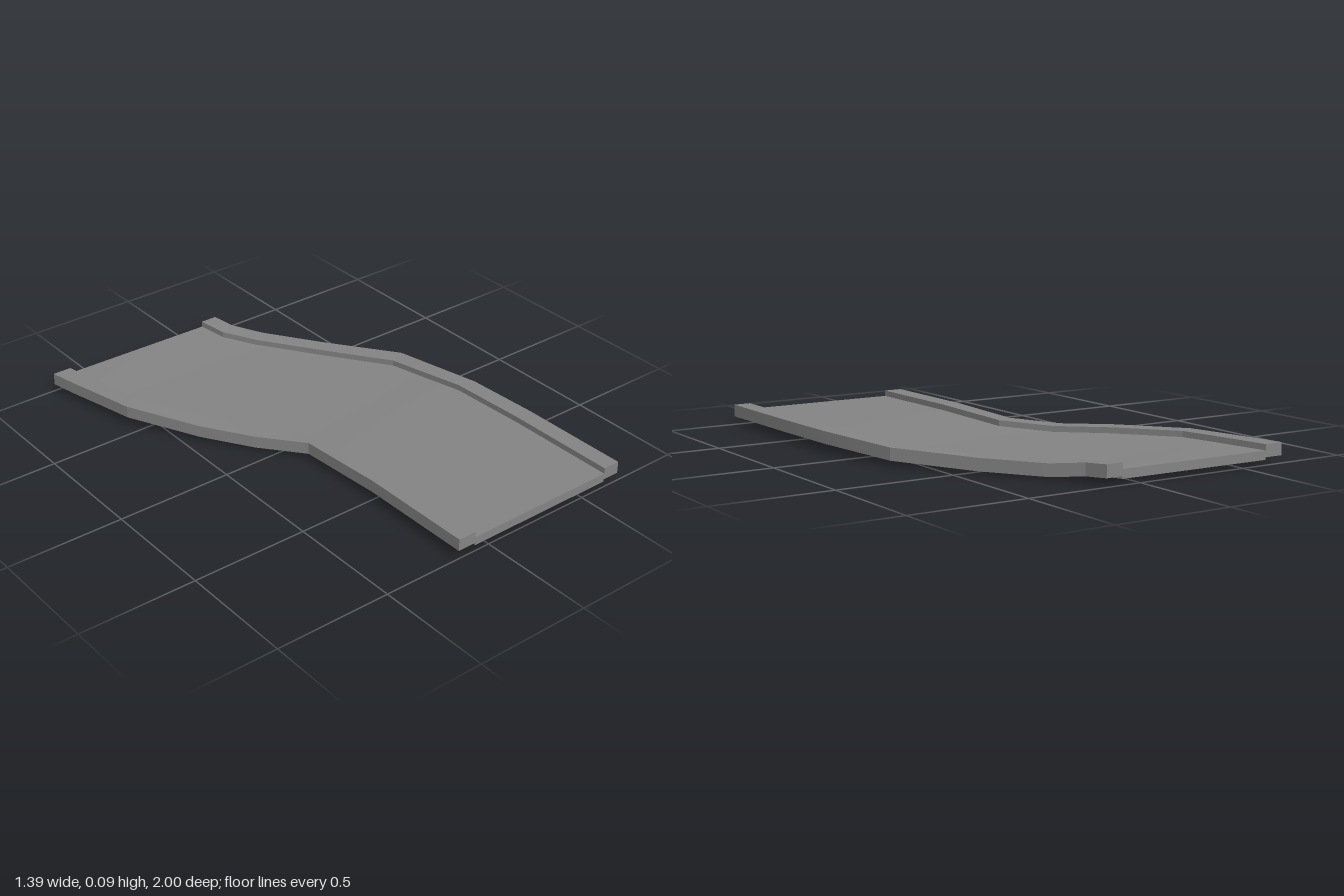
import * as THREE from 'three';
import { toCreasedNormals } from 'three/addons/utils/BufferGeometryUtils.js';

// Stations from front to back: [outer x, outer z, inner x, inner z, height offset]
const RIGHT_EDGE = [
  [-0.153, 1, -0.07, 1, 0],
  [-0.155, 0.5, -0.075, 0.5, 0],
  [-0.168, 0.11, -0.095, 0.08, -0.014],
  [-0.3, -0.075, -0.235, -0.115, -0.024],
  [-0.44, -0.27, -0.38, -0.32, -0.014],
  [-0.6, -0.57, -0.53, -0.6, -0.003],
  [-0.635, -0.72, -0.56, -0.74, -0.003],
  [-0.673, -0.88, -0.59, -0.88, -0.004],
  [-0.697, -1, -0.615, -1, -0.005],
];
const LEFT_EDGE = [
  [0.696, 1, 0.62, 1, 0],
  [0.693, 0.5, 0.617, 0.5, 0],
  [0.68, 0.18, 0.605, 0.16, -0.002],
  [0.645, -0.02, 0.57, -0.015, -0.008],
  [0.61, -0.22, 0.537, -0.19, -0.014],
  [0.41, -0.53, 0.365, -0.47, -0.026],
  [0.25, -0.77, 0.19, -0.73, -0.026],
  [0.17, -0.89, 0.1, -0.86, -0.012],
  [0.148, -0.99, 0.075, -0.99, -0.005],
];

const outer = (s) => [s[0], s[1], s[4]];
const inner = (s) => [s[2], s[3], s[4]];

// Closed strip with a rectangular section between two edge lines
function strip(name, a, b, bottom, top, material) {
  const rings = a.map(([ax, az, ay], i) => {
    const [bx, bz, by] = b[i];
    return [
      [ax, ay + top, az], [bx, by + top, bz],
      [bx, by + bottom, bz], [ax, ay + bottom, az],
    ];
  });
  const positions = [];
  const quad = (p, q, r, s) => positions.push(...p, ...q, ...r, ...p, ...r, ...s);
  for (let i = 0; i < rings.length - 1; i++) {
    for (let k = 0; k < 4; k++) {
      const n = (k + 1) % 4;
      quad(rings[i][k], rings[i][n], rings[i + 1][n], rings[i + 1][k]);
    }
  }
  const front = rings[0];
  const back = rings[rings.length - 1];
  quad(front[3], front[2], front[1], front[0]);
  quad(back[0], back[1], back[2], back[3]);

  // Gentle bends shade smoothly, corners stay sharp
  const geometry = new THREE.BufferGeometry();
  geometry.setAttribute('position', new THREE.Float32BufferAttribute(positions, 3));
  const mesh = new THREE.Mesh(toCreasedNormals(geometry, 0.25), material);
  mesh.name = name;
  return mesh;
}

export function createModel() {
  const group = new THREE.Group();
  group.name = 'curvedRoad';
  const material = new THREE.MeshStandardMaterial({ color: 0x838383 });

  // Road slab between the two kerbs, dipping through the bend
  group.add(strip('roadSurface', RIGHT_EDGE.map(inner), LEFT_EDGE.map(inner), 0.028, 0.065, material));

  // Raised kerbs along both sides
  group.add(strip('rightKerb', RIGHT_EDGE.map(outer), RIGHT_EDGE.map(inner), 0.038, 0.09, material));
  group.add(strip('leftKerb', LEFT_EDGE.map(inner), LEFT_EDGE.map(outer), 0.038, 0.09, material));

  return group;
}
